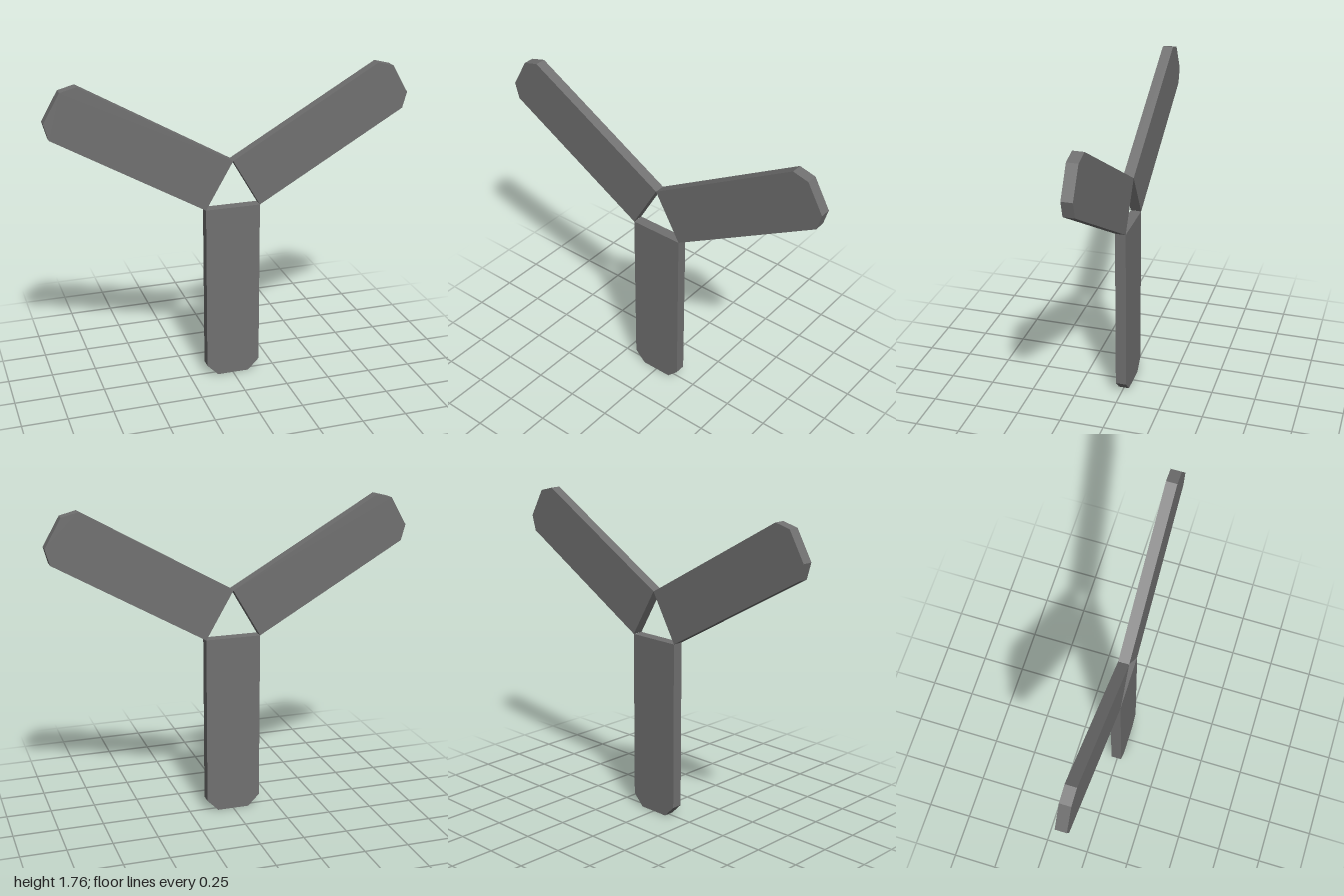
import * as THREE from 'three';

export function createModel() {
  const model = new THREE.Group();
  model.name = 'threeBladeRotor';
  const grey = new THREE.MeshStandardMaterial({ color: 0x707070 });
  grey.name = 'grey';

  // Blade outline, pointing down from the hub centre, with chamfered tip
  const inner = -0.089, tip = -1.107, half = 0.154, tipHalf = 0.09, chamfer = 0.065;
  const outline = new THREE.Shape([
    [-half, inner], [-half, tip + chamfer], [-tipHalf, tip],
    [tipHalf, tip], [half, tip + chamfer], [half, inner],
  ].map(([x, y]) => new THREE.Vector2(x, y)));

  const thickness = 0.06;
  const geometry = new THREE.ExtrudeGeometry(outline, { depth: thickness, bevelEnabled: false });
  geometry.translate(0, 0, -thickness / 2);

  // Three blades around an open triangular hub
  ['lowerBlade', 'leftBlade', 'rightBlade'].forEach((name, i) => {
    const blade = new THREE.Mesh(geometry, grey);
    blade.name = name;
    blade.position.y = -tip;
    blade.rotation.z = (i * Math.PI * 2) / 3;
    model.add(blade);
  });
  return model;
}
